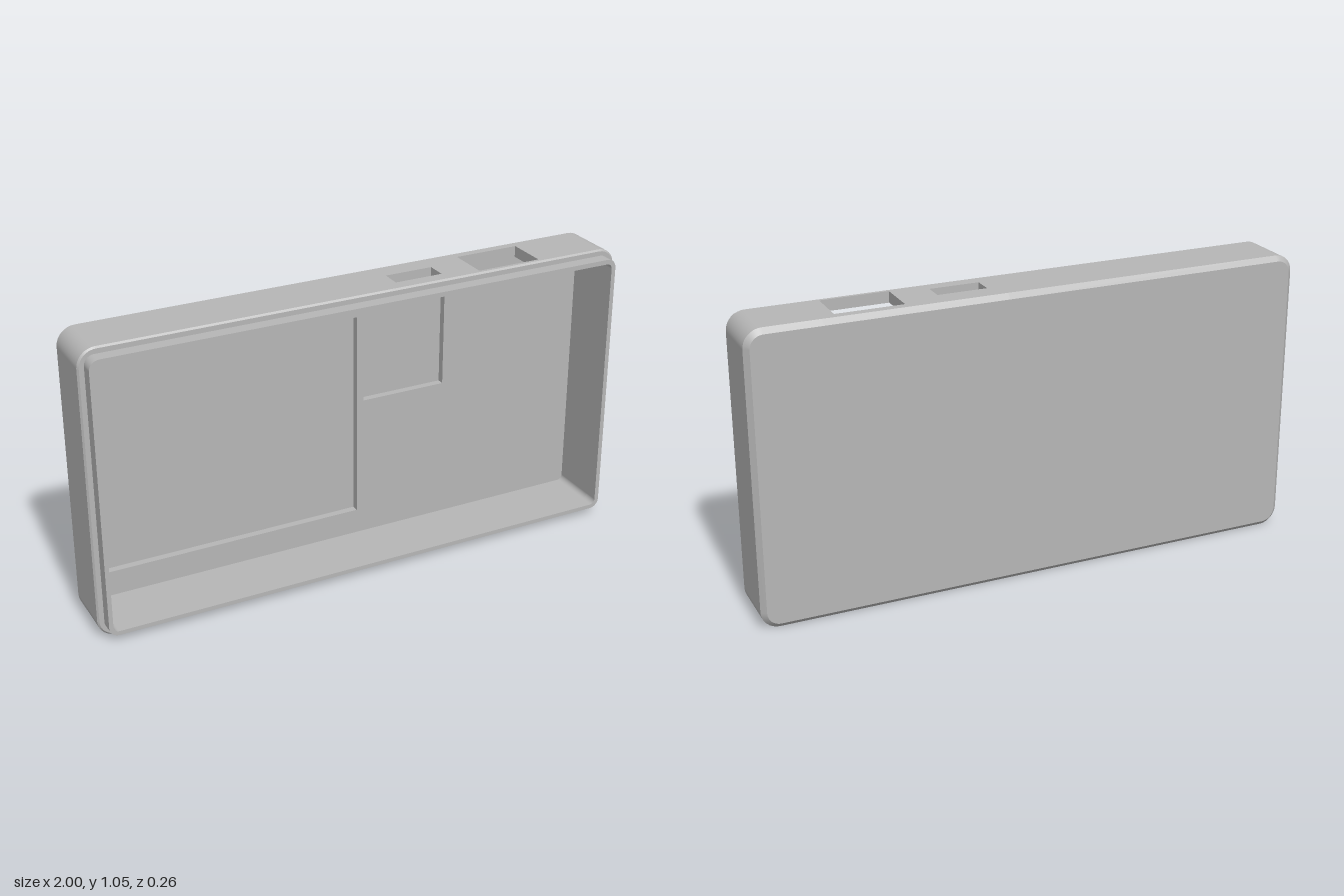
import * as THREE from 'three';

const FLOOR = -0.09, SHOULDER = 0.08, RIM = 0.133;
const GAP = [0.1, 0.74]; // stretch of the top wall that carries the port openings

// Rounded rectangle, counter-clockwise; its closing segment is the top gap
function loop(x0, x1, y0, y1, r, z) {
  const pts = [new THREE.Vector3(GAP[0], y1, z)];
  const corners = [[x0 + r, y1 - r, 1], [x0 + r, y0 + r, 2], [x1 - r, y0 + r, 3], [x1 - r, y1 - r, 4]];
  const n = 8;
  for (const [cx, cy, q] of corners) {
    for (let i = 0; i <= n; i++) {
      const a = (q + i / n) * Math.PI / 2;
      pts.push(new THREE.Vector3(cx + r * Math.cos(a), cy + r * Math.sin(a), z));
    }
  }
  pts.push(new THREE.Vector3(GAP[1], y1, z));
  return pts;
}

// Surface strip between two loops, smooth around and sharp at its borders
function band(a, b, open) {
  const n = a.length, index = [];
  for (let i = 0; i < (open ? n - 1 : n); i++) {
    const j = (i + 1) % n;
    index.push(i, j, n + j, i, n + j, n + i);
  }
  const g = new THREE.BufferGeometry().setFromPoints([...a, ...b]);
  g.setIndex(index);
  g.computeVertexNormals();
  return g;
}

function flatCap(pts) {
  return new THREE.ShapeGeometry(new THREE.Shape(pts.map(p => new THREE.Vector2(p.x, p.y))));
}

export function createModel() {
  const group = new THREE.Group();
  const grey = new THREE.MeshStandardMaterial({ color: 0xb6b6b6 });
  grey.name = 'grey plastic';
  const add = (name, geometry) => {
    const mesh = new THREE.Mesh(geometry, grey);
    mesh.name = name;
    group.add(mesh);
    return mesh;
  };

  // Shell cross-sections, from the back over the rim and down to the cavity floor
  const outer = (inset, z) => loop(-1 + inset, 1 - inset, inset, 1.05 - inset, 0.065 - inset, z);
  const lip = z => loop(-0.977, 0.975, 0.026, 1.027, 0.035, z);
  const inner = z => loop(-0.962, 0.959, 0.041, 1.01, 0.02, z);
  const back = outer(0.018, -0.13), floor = inner(FLOOR);
  const shell = [
    ['backChamfer', back, outer(0, -0.113)],
    ['outerWall', outer(0, -0.113), outer(0, SHOULDER), true],
    ['frontChamfer', outer(0, SHOULDER), outer(0.006, 0.086)],
    ['shoulder', outer(0.006, 0.086), lip(0.086)],
    ['lipOuterWall', lip(0.086), lip(RIM)],
    ['lipRim', lip(RIM), inner(RIM)],
    ['lipInnerWall', inner(RIM), inner(SHOULDER)],
    ['cavityWall', inner(SHOULDER), floor, true],
  ];
  for (const [name, a, b, open] of shell) add(name, band(a, b, open));
  add('cavityFloor', flatCap(floor)).position.z = FLOOR;
  add('backPanel', flatCap(back).rotateY(Math.PI)).position.z = -0.13;

  // Top wall section with two rectangular port openings
  const rect = (Type, x0, x1, z0, z1) => new Type([[x0, -z1], [x1, -z1], [x1, -z0], [x0, -z0]]
    .map(p => new THREE.Vector2(...p)));
  const plate = rect(THREE.Shape, ...GAP, -0.113, SHOULDER);
  plate.holes.push(rect(THREE.Path, 0.143, 0.32, -0.038, 0.034));
  plate.holes.push(rect(THREE.Path, 0.45, 0.69, -0.083, 0.068));
  add('portWall', new THREE.ExtrudeGeometry(plate, { depth: 0.04, bevelEnabled: false })
    .rotateX(-Math.PI / 2).translate(0, 1.01, 0));

  // Low locating ribs on the cavity floor
  const rib = (name, x0, x1, y0, y1) => {
    const h = 0.026;
    add(name, new THREE.BoxGeometry(x1 - x0, y1 - y0, h))
      .position.set((x0 + x1) / 2, (y0 + y1) / 2, FLOOR + h / 2);
  };
  rib('largeBayLeftRib', -0.962, -0.947, 0.135, 0.92);
  rib('largeBayRightRib', 0.046, 0.059, 0.135, 0.92);
  rib('largeBayBottomRib', -0.947, 0.046, 0.135, 0.15);
  rib('largeBayTopRib', -0.947, 0.046, 0.906, 0.92);
  rib('smallBayLeftRib', 0.059, 0.073, 0.57, 0.975);
  rib('smallBayRightRib', 0.392, 0.406, 0.57, 0.975);
  rib('smallBayBottomRib', 0.073, 0.392, 0.57, 0.584);

  return group;
}
